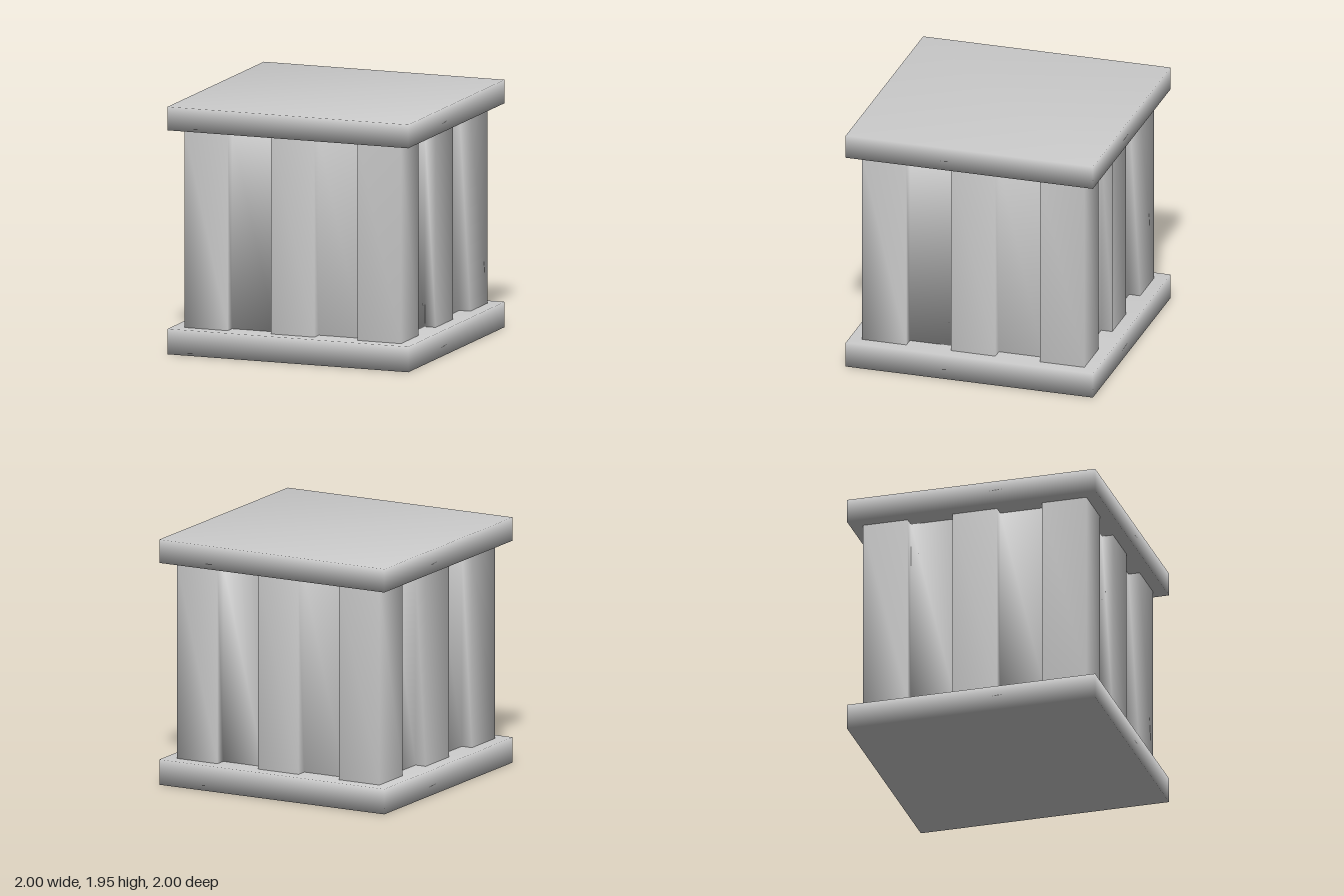
import * as THREE from 'three';
import { mergeVertices } from 'three/addons/utils/BufferGeometryUtils.js';

const material = new THREE.MeshStandardMaterial({ color: 0xcccccc });

// Weld shared corners so the shading runs smoothly over the edges
function weld(geometry) {
  geometry.deleteAttribute('normal');
  geometry.deleteAttribute('uv');
  const welded = mergeVertices(geometry, 1e-4);
  welded.computeVertexNormals();
  return welded;
}

function addMesh(group, name, geometry) {
  const mesh = new THREE.Mesh(weld(geometry), material);
  mesh.name = name;
  group.add(mesh);
  return mesh;
}

// Square slab between two heights
function addSlab(group, name, y0, y1) {
  addMesh(group, name, new THREE.BoxGeometry(2, y1 - y0, 2)).position.y = (y0 + y1) / 2;
}

// Square outline with two square-cut grooves per side
function groovedOutline(half, depth) {
  const step = (half * 2) / 5;
  const inner = half - depth;
  const points = [];
  for (let side = 0; side < 4; side++) {
    const run = [
      [-half, -half],
      [-1.5 * step, -half], [-1.5 * step, -inner],
      [-0.5 * step, -inner], [-0.5 * step, -half],
      [0.5 * step, -half], [0.5 * step, -inner],
      [1.5 * step, -inner], [1.5 * step, -half],
    ];
    for (const [x, y] of run) {
      points.push(new THREE.Vector2(x, y).rotateAround(new THREE.Vector2(), side * Math.PI / 2));
    }
  }
  return new THREE.Shape(points);
}

export function createModel() {
  const group = new THREE.Group();
  group.name = 'groovedPedestal';

  addSlab(group, 'baseSlab', 0, 0.2);
  addSlab(group, 'topSlab', 1.76, 1.945);

  // Grooved core standing between the slabs
  const core = new THREE.ExtrudeGeometry(groovedOutline(0.9, 0.09), {
    depth: 1.56, bevelEnabled: false, steps: 1,
  });
  core.rotateX(-Math.PI / 2);
  addMesh(group, 'groovedCore', core).position.y = 0.2;

  return group;
}
